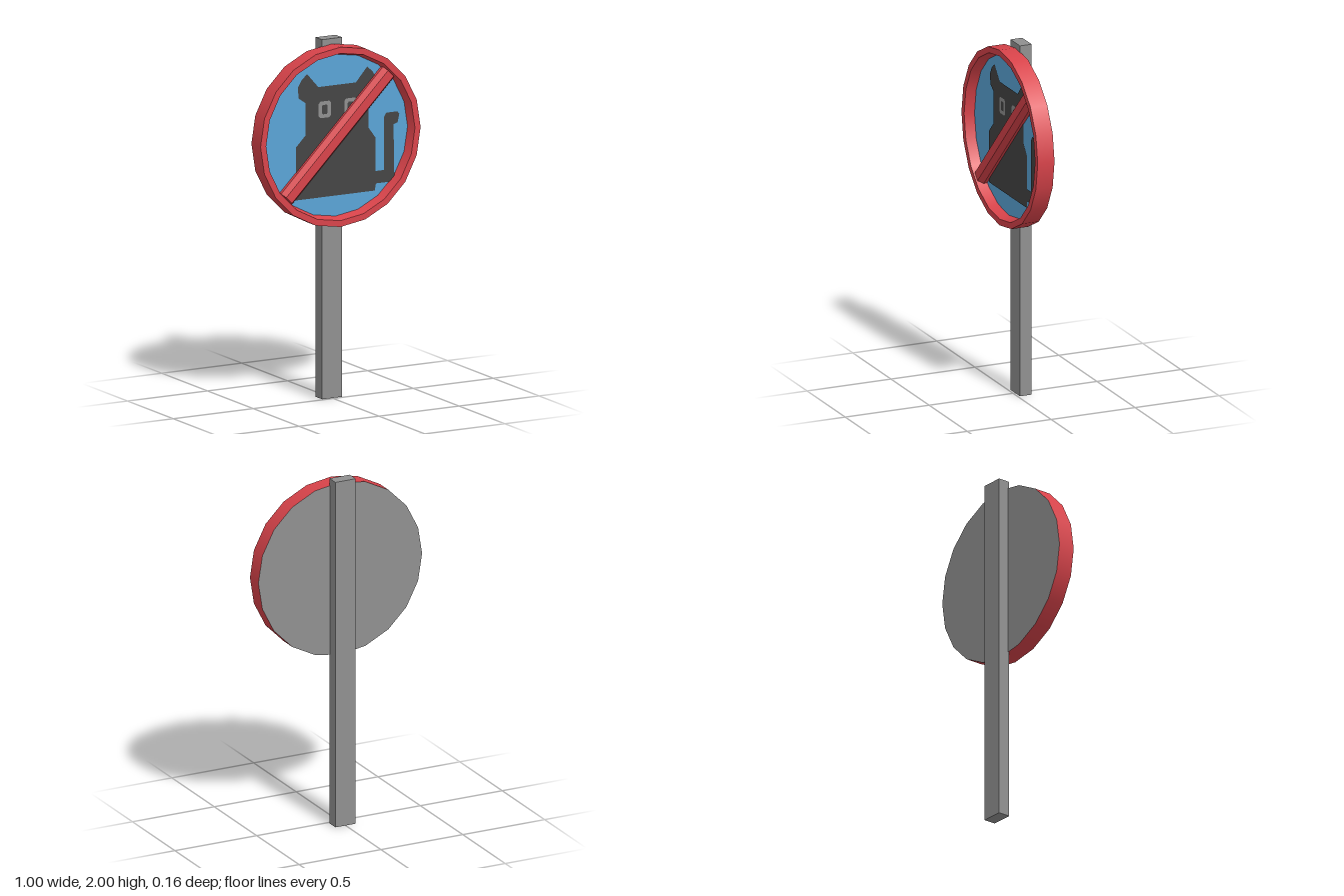
import * as THREE from 'three';

const SIDES = 20, R = 0.5, CY = 1.47, BACK = -0.02, FRONT = 0.08, PANEL = 0.025;

const material = (name, color, side = THREE.FrontSide) => {
  const m = new THREE.MeshStandardMaterial({ color, side });
  m.name = name;
  return m;
};

const polygon = (points) => new THREE.Shape(points.map(([x, y]) => new THREE.Vector2(x, y)));

// rounded-off box outline
const octagon = (cx, cy, w, h, c) => polygon([
  [cx - w + c, cy - h], [cx + w - c, cy - h], [cx + w, cy - h + c], [cx + w, cy + h - c],
  [cx + w - c, cy + h], [cx - w + c, cy + h], [cx - w, cy + h - c], [cx - w, cy - h + c],
]);

export function createModel() {
  const grey = material('grey metal', 0x909090);
  const red = material('red', 0xd8434a, THREE.DoubleSide);
  const blue = material('blue', 0x5aa4d6);
  const dark = material('dark grey', 0x444444);

  const model = new THREE.Group();
  model.name = 'roadSign';
  const sign = new THREE.Group();
  sign.name = 'signPlate';
  sign.position.y = CY;
  model.add(sign);

  const add = (parent, name, geometry, mat, x = 0, y = 0, z = 0) => {
    const mesh = new THREE.Mesh(geometry, mat);
    mesh.name = name;
    mesh.position.set(x, y, z);
    parent.add(mesh);
    return mesh;
  };

  // post
  add(model, 'post', new THREE.BoxGeometry(0.124, 2, 0.07), grey, 0, 1, -0.048);

  // rim: outer wall, front ring and sloping inner wall
  const wall = (front, back, z0, z1) =>
    new THREE.CylinderGeometry(front, back, z1 - z0, SIDES, 1, true)
      .rotateX(Math.PI / 2).translate(0, 0, (z0 + z1) / 2);
  add(sign, 'rimOuter', wall(R, R, BACK, FRONT), red);
  add(sign, 'rimFront', new THREE.RingGeometry(0.465, R, SIDES), red, 0, 0, FRONT);
  add(sign, 'rimInner', wall(0.465, 0.45, PANEL, FRONT), red);

  // back plate and front panel
  add(sign, 'backPlate', new THREE.CircleGeometry(R, SIDES).rotateY(Math.PI), grey, 0, 0, BACK);
  add(sign, 'panel', new THREE.CircleGeometry(0.45, SIDES), blue, 0, 0, PANEL);

  // cat silhouette, tail included
  const cat = polygon([
    [-0.18, 1.83], [-0.215, 1.8], [-0.238, 1.76], [-0.233, 1.7], [-0.19, 1.67], [-0.19, 1.49],
    [-0.249, 1.43], [-0.249, 1.135], [0.243, 1.135], [0.25, 1.174], [0.345, 1.174], [0.365, 1.2],
    [0.36, 1.49], [0.386, 1.5], [0.396, 1.545], [0.385, 1.56], [0.315, 1.56], [0.302, 1.54],
    [0.302, 1.243], [0.247, 1.243], [0.247, 1.43], [0.203, 1.49], [0.203, 1.67], [0.245, 1.7],
    [0.25, 1.76], [0.23, 1.8], [0.195, 1.83], [0.125, 1.75], [-0.11, 1.75],
  ]);
  add(sign, 'cat', new THREE.ShapeGeometry(cat), dark, 0, -CY, PANEL + 0.004);

  // eyes with slit pupils
  for (const x of [-0.071, 0.09]) {
    const eye = octagon(x, 1.622, 0.039, 0.046, 0.012);
    eye.holes.push(octagon(x, 1.622, 0.018, 0.026, 0.006));
    add(sign, 'eye', new THREE.ShapeGeometry(eye), grey, 0, -CY, PANEL + 0.007);
  }

  // bevelled diagonal bar
  const section = polygon([
    [-0.047, 0], [0.047, 0], [0.047, 0.02], [0.025, 0.05], [-0.025, 0.05], [-0.047, 0.02],
  ]);
  const bar = new THREE.ExtrudeGeometry(section, { depth: 0.9, bevelEnabled: false })
    .translate(0, 0, -0.45).rotateX(Math.PI / 2).rotateZ(-Math.PI / 4);
  add(sign, 'diagonalBar', bar, red, 0, 0, PANEL);

  return model;
}
